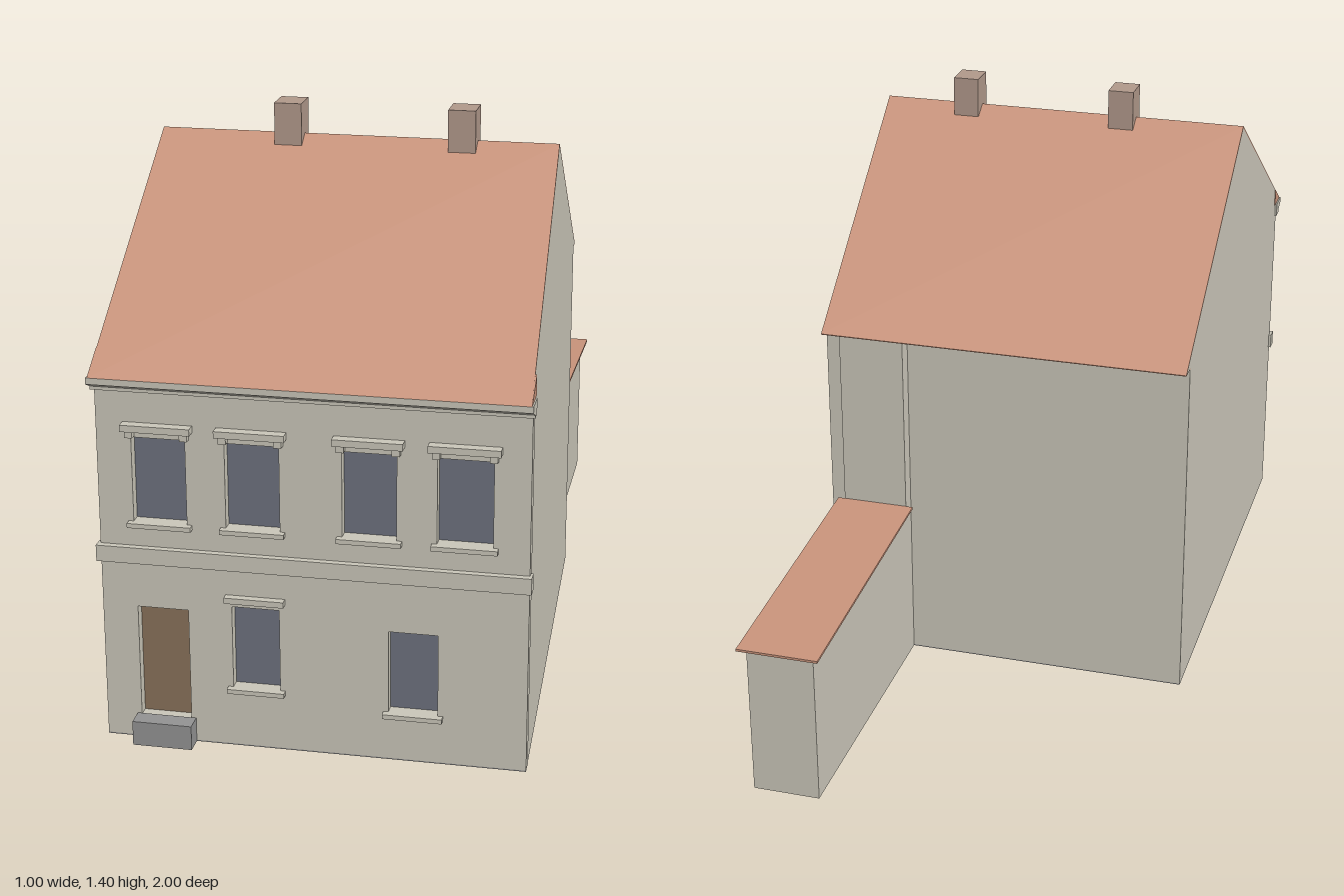
import * as THREE from 'three';

const paint = (name, color) => Object.assign(new THREE.MeshStandardMaterial({ color }), { name });

// Right-hand boundary of the house: the plot narrows towards the back
const LEFT = -0.495;
const rightEdge = (z) => 0.44 + (z + 0.3) * 0.043;

export function createModel() {
  const group = new THREE.Group();
  const wall = paint('plaster', 0xc9c5b8);
  const roof = paint('roofTile', 0xc8937b);
  const glass = paint('glass', 0x6c717d);
  const wood = paint('doorWood', 0x87715a);
  const stone = paint('stone', 0x929292);
  const brick = paint('chimneyBrick', 0xb0988a);

  const add = (name, geometry, material) => {
    const mesh = new THREE.Mesh(geometry, material);
    mesh.name = name;
    group.add(mesh);
    return mesh;
  };

  // Box given by its limits on each axis
  const block = (name, [x0, x1], [y0, y1], [z0, z1], material) => {
    const mesh = add(name, new THREE.BoxGeometry(x1 - x0, y1 - y0, z1 - z0), material);
    mesh.position.set((x0 + x1) / 2, (y0 + y1) / 2, (z0 + z1) / 2);
  };

  // Side profile of [z, y] points drawn out along x; without limits it follows the plot
  const prism = (name, profile, material, x0 = LEFT, x1 = null) => {
    const shape = new THREE.Shape(profile.map(([z, y]) => new THREE.Vector2(-z, y)));
    const geometry = new THREE.ExtrudeGeometry(shape, { depth: 1, bevelEnabled: false });
    geometry.rotateY(Math.PI / 2);
    const p = geometry.attributes.position;
    for (let i = 0; i < p.count; i++) {
      const end = x1 === null ? rightEdge(p.getZ(i)) : x1;
      p.setX(i, x0 + p.getX(i) * (end - x0));
    }
    geometry.computeVertexNormals();
    return add(name, geometry, material);
  };

  const FRONT = 0.955, INNER = 0.925, BACK = -0.255;

  // Main body with gables, and its underside
  prism('houseBody', [
    [INNER, 0.003], [INNER, 0.9456], [0.35, 1.317], [-0.296, 0.9], [BACK, 0.9], [BACK, 0.003],
  ], wall);
  prism('houseBase', [[FRONT, 0], [FRONT, 0.003], [BACK, 0.003], [BACK, 0]], stone);

  // Openings: [x0, x1, y0, y1]
  const upper = [[-0.414, -0.289], [-0.198, -0.073], [0.07, 0.194], [0.285, 0.411]]
    .map(([a, b]) => [a, b, 0.546, 0.75]);
  const lower = [[-0.189, -0.078, 0.15, 0.352], [0.175, 0.289, 0.121, 0.322]];
  const door = [-0.412, -0.292, 0.058, 0.334];
  const windows = [...upper, ...lower];

  // Facade with recessed openings
  const rect = (path, x0, x1, y0, y1) =>
    path.moveTo(x0, y0).lineTo(x1, y0).lineTo(x1, y1).lineTo(x0, y1).lineTo(x0, y0);
  const facade = rect(new THREE.Shape(), LEFT, 0.494, 0.003, 0.9);
  for (const opening of [...windows, door]) facade.holes.push(rect(new THREE.Path(), ...opening));
  add('facade', new THREE.ExtrudeGeometry(facade, { depth: FRONT - INNER, bevelEnabled: false }), wall)
    .position.z = INNER;

  // Panes, sills and door
  for (const [x0, x1, y0, y1] of windows) {
    block('windowPane', [x0, x1], [y0, y1], [INNER, INNER + 0.004], glass);
    block('windowSill', [x0 - 0.012, x1 + 0.012], [y0 - 0.011, y0], [INNER, 0.972], wall);
  }
  block('door', [door[0], door[1]], [door[2], door[3]], [INNER, INNER + 0.004], wood);
  block('doorStep', [-0.422, -0.281], [0, 0.06], [FRONT, 1], stone);

  // Window hoods with end brackets
  for (const [x0, x1] of upper) {
    block('windowHood', [x0 - 0.018, x1 + 0.018], [0.77, 0.786], [FRONT, 0.98], wall);
    block('hoodBracket', [x0 - 0.01, x0 + 0.008], [0.753, 0.77], [FRONT, 0.972], wall);
    block('hoodBracket', [x1 - 0.008, x1 + 0.01], [0.753, 0.77], [FRONT, 0.972], wall);
  }
  block('lowerWindowHood', [-0.203, -0.064], [0.367, 0.381], [FRONT, 0.974], wall);

  // String course and cornice
  block('stringCourse', [-0.502, 0.5], [0.447, 0.486], [0.94, 0.971], wall);
  prism('cornice', [
    [0.94, 0.863], [0.971, 0.863], [0.971, 0.871], [1, 0.885], [1, 0.9], [0.94, 0.9],
  ], wall, -0.5, 0.5);

  // Roof: thin slopes, front eave wedge and rear soffit
  prism('mainRoof', [
    [1, 0.9], [0.35, 1.322], [-0.3, 0.9], [-0.296, 0.9], [0.35, 1.317], [0.99, 0.9],
  ], roof);
  prism('eaveWedge', [[0.999, 0.9], [INNER, 0.9], [INNER, 0.9475]], roof, -0.4965, 0.4965);
  prism('rearSoffit', [[BACK, 0.898], [BACK, 0.9], [-0.3, 0.9], [-0.3, 0.898]], roof);

  // Chimneys on the ridge
  for (const x of [-0.178, 0.241]) {
    block('chimney', [x - 0.033, x + 0.033], [1.298, 1.4], [0.31, 0.386], brick);
  }

  // Rear extension with rising pier and lean-to roof
  prism('rearExtension', [[BACK, 0], [BACK, 0.434], [-0.98, 0.391], [-0.98, 0]], wall, 0.228, 0.394);
  block('rearPier', [0.228, 0.394], [0.4, 0.898], [-0.295, BACK], wall);
  prism('extensionRoof', [
    [-0.295, 0.439], [-1, 0.397], [-1, 0.391], [-0.295, 0.433],
  ], roof, 0.21, 0.412);

  return group;
}
